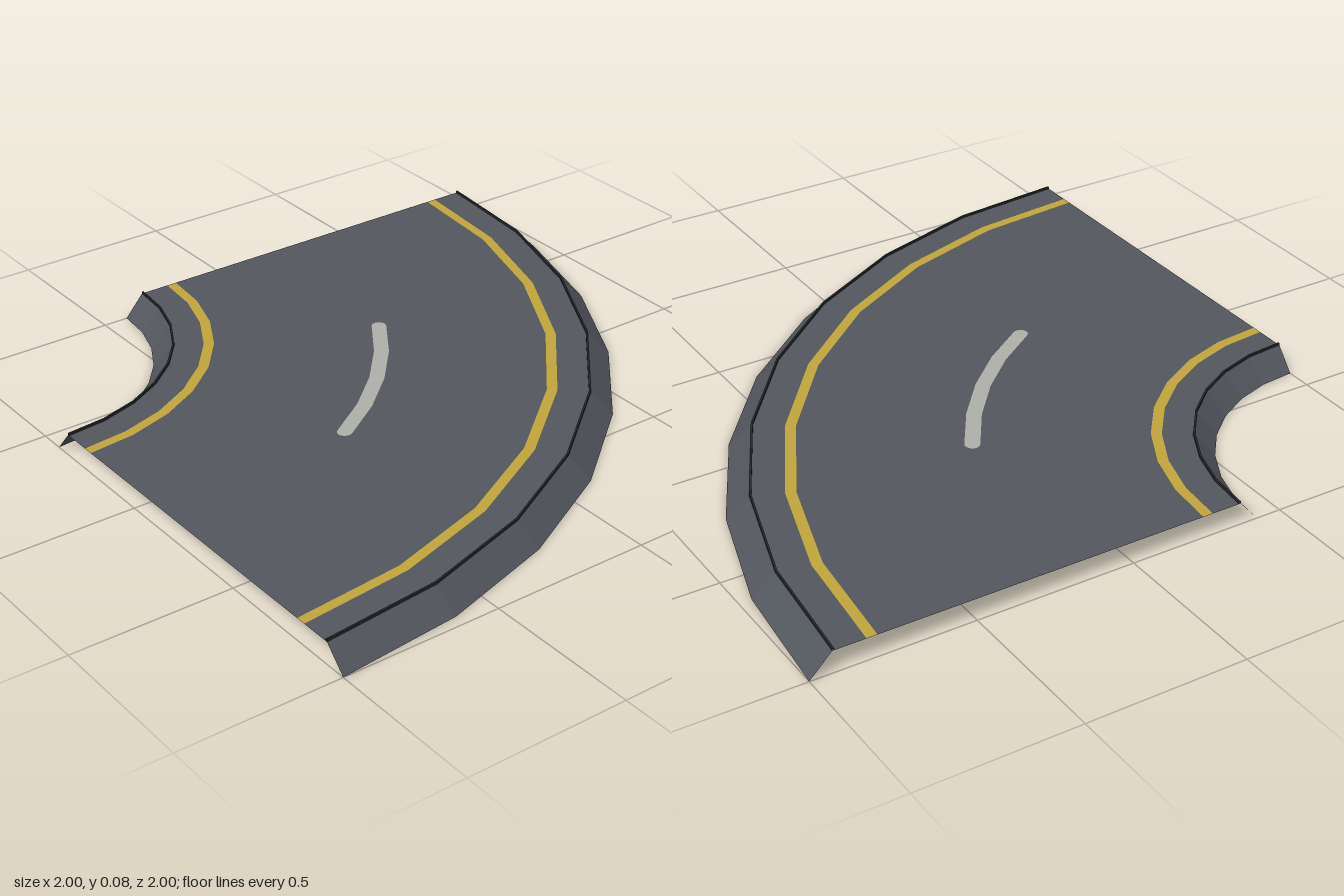
import * as THREE from 'three';

const material = (name, color) => {
  const m = new THREE.MeshStandardMaterial({ color, side: THREE.DoubleSide, flatShading: true });
  m.name = name;
  return m;
};

export function createModel() {
  const asphalt = material('asphalt grey', 0x53575e);
  const yellow = material('line yellow', 0xc2a53c);
  const white = material('dash grey white', 0xb0afa9);
  const dark = material('edge dark', 0x25272b);

  const group = new THREE.Group();
  group.name = 'roadCurve';
  const bend = new THREE.Group();
  bend.name = 'quarterBend';
  bend.position.set(-1, 0, -1); // centre of the curve
  group.add(bend);

  const TOP = 0.07;

  // Sweeps a [radius, height] profile, listed from outside to inside, round the bend
  const sweep = (name, mat, profile, segments = 8, start = 0, length = Math.PI / 2) => {
    const points = profile.map(([r, y]) => new THREE.Vector2(r, y));
    const mesh = new THREE.Mesh(new THREE.LatheGeometry(points, segments, start, length), mat);
    mesh.name = name;
    bend.add(mesh);
  };
  const flat = (name, mat, outer, inner) => sweep(name, mat, [[outer, TOP], [inner, TOP]]);

  // Sloping shoulders, open underneath
  sweep('outerShoulder', asphalt, [[2, 0], [1.932, TOP]]);
  sweep('innerShoulder', asphalt, [[0.642, TOP], [0.58, 0]]);

  // Thin dark edging along both shoulders
  for (const [name, r] of [['outerEdging', 1.932], ['innerEdging', 0.648]]) {
    sweep(name, dark, [[r, TOP], [r, TOP + 0.007], [r - 0.006, TOP + 0.007], [r - 0.006, TOP]]);
  }

  // Road surface divided by the yellow border lines
  flat('outerVerge', asphalt, 1.932, 1.832);
  flat('outerLine', yellow, 1.832, 1.8);
  flat('roadSurface', asphalt, 1.8, 0.77);
  flat('innerLine', yellow, 0.77, 0.738);
  flat('innerVerge', asphalt, 0.738, 0.642);

  // Centre dash with rounded ends, showing on both faces of the road
  const R = 1.287, HALF = 0.023;
  for (const y of [TOP + 0.002, TOP - 0.002]) {
    sweep('centreDash', white, [[R + HALF, y], [R - HALF, y]], 4, Math.PI / 6, Math.PI / 6);
    for (const angle of [Math.PI / 6, Math.PI / 3]) {
      const cap = new THREE.Mesh(new THREE.CircleGeometry(HALF, 12), white);
      cap.name = 'centreDashEnd';
      cap.rotation.x = -Math.PI / 2;
      cap.position.set(R * Math.sin(angle), y, R * Math.cos(angle));
      bend.add(cap);
    }
  }

  return group;
}
